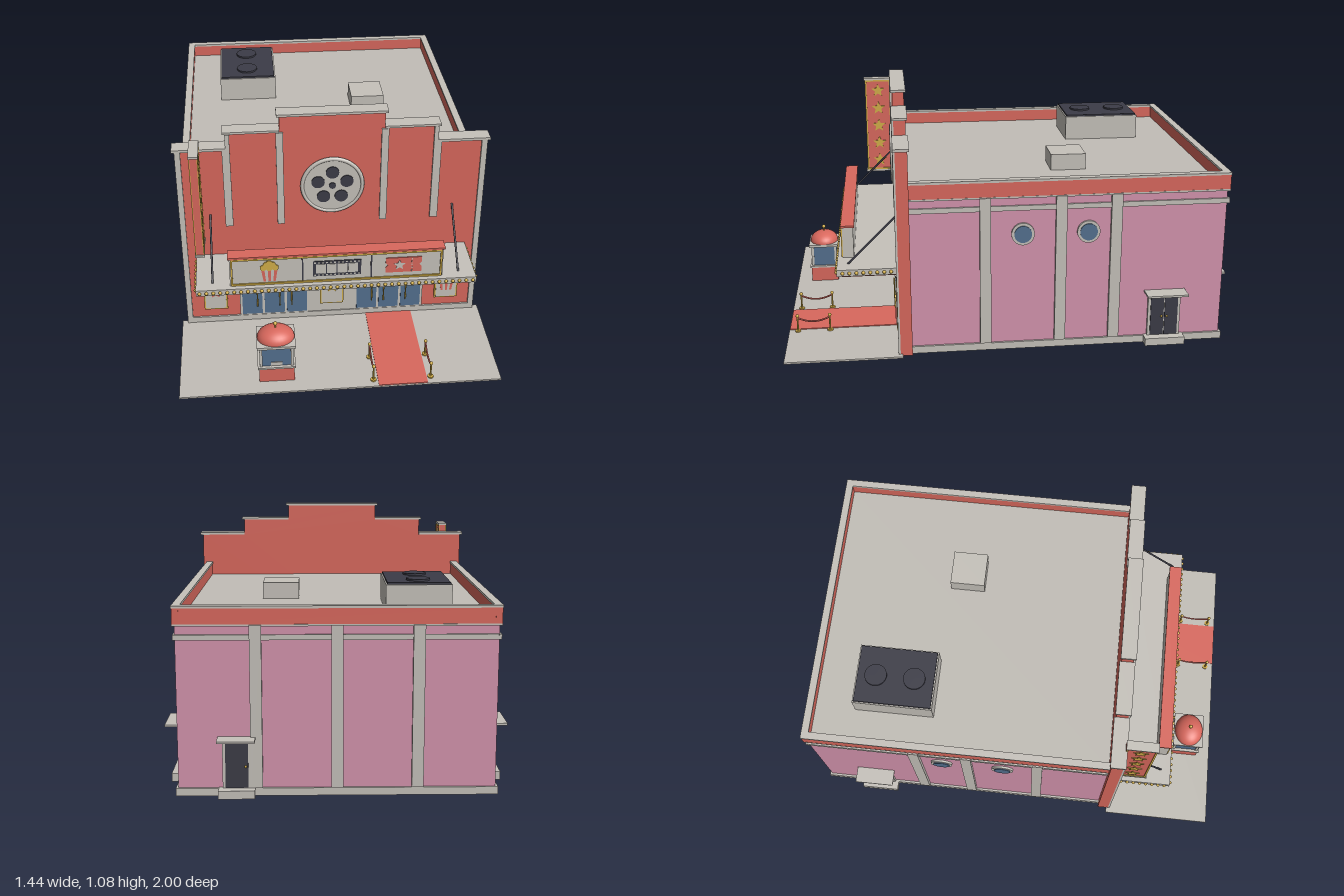
import * as THREE from 'three';

const mat = (name, color, side = THREE.FrontSide) => {
  const m = new THREE.MeshStandardMaterial({ color, side });
  m.name = name;
  return m;
};

export function createModel() {
  const root = new THREE.Group();
  root.name = 'cinemaBuilding';
  const red = mat('coralRed', 0xd9685d), pink = mat('wallPink', 0xd594ae, THREE.DoubleSide);
  const stone = mat('stoneGrey', 0xc6c2bb), slab = mat('roofGrey', 0xc2beb7, THREE.DoubleSide);
  const dark = mat('charcoal', 0x3c3c47), glass = mat('glassBlue', 0x54708f);
  const gold = mat('gold', 0xd2ae48);

  const add = (name, geo, m, x = 0, y = 0, z = 0, parent = root) => {
    const mesh = new THREE.Mesh(geo, m);
    mesh.name = name;
    mesh.position.set(x, y, z);
    parent.add(mesh);
    return mesh;
  };
  // Box from its extents
  const box = (name, m, x0, x1, y0, y1, z0, z1, parent = root) =>
    add(name, new THREE.BoxGeometry(x1 - x0, y1 - y0, z1 - z0), m, (x0 + x1) / 2, (y0 + y1) / 2, (z0 + z1) / 2, parent);
  // Flat outline of points, extruded towards +z
  const plate = (name, m, pts, x, y, z, depth = 0.004, parent = root) =>
    add(name, new THREE.ExtrudeGeometry(new THREE.Shape(pts.map(p => new THREE.Vector2(...p))), { depth, bevelEnabled: false }), m, x, y, z, parent);
  // Disc facing +z
  const disc = (name, m, r, x, y, z, depth = 0.004, parent = root) =>
    add(name, new THREE.CylinderGeometry(r, r, depth, 32).rotateX(Math.PI / 2), m, x, y, z + depth / 2, parent);
  const star = (name, m, r, x, y, z, parent = root) =>
    plate(name, m, Array.from({ length: 10 }, (_, i) => {
      const a = Math.PI / 2 + i * Math.PI / 5, q = i % 2 ? r * 0.45 : r;
      return [q * Math.cos(a), q * Math.sin(a)];
    }), x, y, z, 0.004, parent);
  // Rod between two points
  const rod = (name, m, a, b, r, parent = root) => {
    const A = new THREE.Vector3(...a), B = new THREE.Vector3(...b), d = B.clone().sub(A);
    const mesh = add(name, new THREE.CylinderGeometry(r, r, d.length(), 8), m, 0, 0, 0, parent);
    mesh.position.copy(A).add(B).multiplyScalar(0.5);
    mesh.quaternion.setFromUnitVectors(new THREE.Vector3(0, 1, 0), d.normalize());
  };
  // Popcorn bucket picture
  const popcorn = (x, y, z, s) => {
    const g = new THREE.Group();
    g.name = 'popcornPicture';
    g.position.set(x, y, z);
    g.scale.set(s, s, 1);
    root.add(g);
    for (let i = 0; i < 5; i++) {
      const b = -0.026 + i * 0.0104, t = -0.036 + i * 0.0144;
      plate('bucketStripe', i % 2 ? stone : red, [[b, -0.05], [b + 0.0104, -0.05], [t + 0.0144, 0.015], [t, 0.015]], 0, 0, 0, 0.004, g);
    }
    [[-0.026, 0.02], [0, 0.018], [0.026, 0.02], [-0.013, 0.035], [0.014, 0.035], [0, 0.043]]
      .forEach(([a, b]) => disc('kernel', gold, 0.014, a, b, 0, 0.005, g));
  };

  // Open shell: walls and roof
  const W = 0.643, ZB = -0.926, ZF = 0.46;
  const wall = (name, w, x, z, turn) =>
    add(name, new THREE.PlaneGeometry(w, 0.71), pink, x, 0.355, z).rotation.y = turn;
  for (const s of [1, -1]) wall('sideWall', ZF - ZB, s * W, (ZF + ZB) / 2, s * Math.PI / 2);
  wall('backWall', 2 * W, 0, ZB, Math.PI);
  add('roof', new THREE.PlaneGeometry(2 * W, ZF - ZB).rotateX(-Math.PI / 2), slab, 0, 0.715, (ZF + ZB) / 2);

  // Trim, parapet and openings of one wall; local +z points outwards
  const frame = (name, x, z, turn) => {
    const g = new THREE.Group();
    g.name = name;
    g.position.set(x, 0, z);
    g.rotation.y = turn;
    root.add(g);
    return g;
  };
  const trim = (g, a, b, piers) => {
    box('plinth', stone, a, b, 0, 0.032, -0.008, 0.01, g);
    box('band', stone, a, b, 0.642, 0.664, -0.004, 0.008, g);
    box('upperBand', stone, a, b, 0.698, 0.706, -0.004, 0.01, g);
    box('parapet', red, a, b, 0.706, 0.77, -0.018, 0.009, g);
    box('parapetCap', stone, a, b, 0.77, 0.78, -0.021, 0.012, g);
    piers.forEach(p => box('pier', stone, p - 0.024, p + 0.024, 0.035, 0.703, -0.01, 0.016, g));
  };
  const exitDoor = (g, x, half, leaves, out) => {
    box('doorFrame', stone, x - half, x + half, 0.03, 0.232, -0.006, 0.012, g);
    const w = (2 * half - 0.02) / leaves;
    for (let i = 0; i < leaves; i++) {
      const l = x - half + 0.01 + i * w;
      box('doorLeaf', dark, l + 0.002, l + w - 0.002, 0.036, 0.222, 0.012, 0.016, g);
      add('doorKnob', new THREE.SphereGeometry(0.005, 8, 6), gold, l + (i ? 0.012 : w - 0.012), 0.125, 0.018, g);
    }
    box('doorStep', stone, x - half - 0.016, x + half + 0.016, 0, 0.034, 0, out * 0.68, g);
    box('doorCanopy', stone, x - half - 0.018, x + half + 0.018, 0.238, 0.247, 0, out, g);
  };
  for (const s of [1, -1]) {
    const g = frame('sideTrim', s * W, 0, s * Math.PI / 2);
    const u = z => -s * z;
    trim(g, Math.min(u(ZF), u(ZB - 0.01)), Math.max(u(ZF), u(ZB - 0.01)), [0.127, -0.2, -0.44].map(u));
    for (const z of [-0.035, -0.32]) {
      disc('portholeRing', stone, 0.05, u(z), 0.535, -0.004, 0.014, g);
      disc('portholeGlass', glass, 0.038, u(z), 0.535, 0.01, 0.004, g);
    }
    exitDoor(g, u(-0.668), 0.073, 2, 0.075);
  }
  const back = frame('backTrim', 0, ZB, Math.PI);
  trim(back, -W - 0.008, W + 0.008, [-0.325, 0, 0.325]);
  exitDoor(back, -0.405, 0.058, 1, 0.074);

  // Rooftop equipment
  box('coolingUnit', stone, -0.48, -0.205, 0.715, 0.83, -0.725, -0.365);
  box('coolingUnitTop', dark, -0.474, -0.211, 0.83, 0.838, -0.719, -0.371);
  for (const z of [-0.635, -0.46]) add('fan', new THREE.CylinderGeometry(0.05, 0.05, 0.008, 32), dark, -0.345, 0.842, z);
  box('roofHatch', stone, 0.16, 0.32, 0.715, 0.788, -0.365, -0.205);

  // Stepped facade
  plate('facade', red, [[-0.67, 0], [0.67, 0], [0.67, 0.922], [0.455, 0.922], [0.455, 1], [0.225, 1], [0.225, 1.072],
    [-0.225, 1.072], [-0.225, 1], [-0.455, 1], [-0.455, 0.922], [-0.67, 0.922]], 0, 0, 0.448, 0.052);
  box('facadePlinth', stone, -0.67, 0.67, 0.004, 0.036, 0.5, 0.508);
  box('centreCap', stone, -0.237, 0.237, 1.072, 1.083, 0.44, 0.508);
  for (const s of [1, -1]) {
    const strip = (name, a, b, y0, y1, z0 = 0.5) => box(name, stone, Math.min(s * a, s * b), Math.max(s * a, s * b), y0, y1, z0, 0.509);
    strip('innerPier', 0.21, 0.241, 0.54, 0.998);
    strip('outerPier', 0.436, 0.47, 0.54, 0.922);
    strip('outerPierTop', 0.436, 0.455, 0.922, 0.998);
    strip('edgePier', 0.645, 0.67, 0, 0.922);
    strip('middleCap', 0.225, 0.465, 1, 1.01, 0.44);
    strip('sideCap', 0.455, 0.682, 0.922, 0.934, 0.44);
  }

  // Film reel
  disc('reelRim', stone, 0.126, 0, 0.73, 0.5, 0.012);
  add('reelRing', new THREE.TorusGeometry(0.131, 0.009, 8, 48), stone, 0, 0.73, 0.508);
  disc('reelHub', dark, 0.015, 0, 0.73, 0.512);
  for (let i = 0; i < 5; i++) {
    const a = Math.PI / 2 + i * Math.PI * 0.4;
    disc('reelHole', dark, 0.029, 0.066 * Math.cos(a), 0.73 + 0.066 * Math.sin(a), 0.512);
  }

  // Entrance doors, three leaves on each side
  for (const s of [1, -1]) {
    box('entranceFrame', stone, s * 0.265 - 0.16, s * 0.265 + 0.16, 0.036, 0.278, 0.5, 0.506);
    box('lintel', stone, s * 0.265 - 0.168, s * 0.265 + 0.168, 0.276, 0.292, 0.5, 0.516);
    for (let i = -1; i <= 1; i++) {
      const c = s * 0.265 + i * 0.103;
      box('doorGlass', glass, c - 0.046, c + 0.046, 0.044, 0.218, 0.506, 0.51);
      for (const k of [-1, 1]) box('transomGlass', glass, c + k * 0.024 - 0.021, c + k * 0.024 + 0.021, 0.226, 0.27, 0.506, 0.51);
      rod('doorHandle', gold, [c - 0.024 * (i || s), 0.09, 0.517], [c - 0.024 * (i || s), 0.165, 0.517], 0.003);
    }
  }
  // Posters
  box('wallPanel', stone, -0.105, 0.105, 0.036, 0.278, 0.5, 0.504);
  for (const x of [-0.535, 0, 0.535]) {
    box('posterFrame', gold, x - 0.054, x + 0.054, 0.082, 0.276, 0.5, 0.51);
    box('posterSheet', stone, x - 0.047, x + 0.047, 0.089, 0.269, 0.51, 0.513);
  }
  star('posterStar', red, 0.031, -0.535, 0.18, 0.513);
  star('posterStar', gold, 0.031, 0, 0.18, 0.513);
  popcorn(0.535, 0.176, 0.513, 0.95);

  // Marquee canopy with bulbs and tie rods
  box('canopy', stone, -0.607, 0.607, 0.357, 0.386, 0.5, 0.762);
  box('canopySoffit', red, -0.585, 0.585, 0.346, 0.357, 0.5, 0.74);
  const bulb = (x, z) => add('bulb', new THREE.SphereGeometry(0.008, 8, 6), gold, x, 0.371, z);
  for (let i = 0; i < 41; i++) bulb(-0.592 + i * 0.0296, 0.764);
  for (const s of [1, -1]) {
    for (let i = 0; i < 8; i++) bulb(s * 0.609, 0.53 + i * 0.0296);
    rod('tieRod', dark, [s * 0.535, 0.6, 0.5], [s * 0.535, 0.386, 0.715], 0.0045);
  }

  // Sign board
  box('signBoard', stone, -0.46, 0.46, 0.386, 0.526, 0.69, 0.738);
  box('signTop', red, -0.466, 0.466, 0.526, 0.535, 0.685, 0.744);
  for (const y of [0.388, 0.517]) box('signFrame', gold, -0.455, 0.455, y, y + 0.008, 0.738, 0.744);
  for (const x of [-0.455, 0.447]) box('signFrame', gold, x, x + 0.008, 0.388, 0.525, 0.738, 0.744);
  for (const x of [-0.148, 0.148]) box('signDivider', dark, x - 0.003, x + 0.003, 0.398, 0.515, 0.738, 0.742);
  popcorn(-0.29, 0.455, 0.738, 1);
  box('filmStrip', dark, -0.104, 0.104, 0.417, 0.495, 0.738, 0.741);
  for (let i = 0; i < 4; i++) box('filmFrame', stone, -0.09 + i * 0.046, -0.048 + i * 0.046, 0.432, 0.48, 0.741, 0.743);
  for (let i = 0; i < 12; i++) for (const y of [0.424, 0.488])
    box('filmHole', stone, -0.099 + i * 0.0172, -0.091 + i * 0.0172, y - 0.003, y + 0.003, 0.741, 0.743);
  plate('ticket', red, [[-0.078, -0.038], [0.078, -0.038], [0.078, -0.012], [0.068, 0], [0.078, 0.012], [0.078, 0.038],
    [-0.078, 0.038], [-0.078, 0.012], [-0.068, 0], [-0.078, -0.012]], 0.288, 0.456, 0.738);
  star('ticketStar', stone, 0.027, 0.27, 0.456, 0.74);
  for (let i = 0; i < 5; i++) box('ticketPerforation', stone, 0.322, 0.326, 0.422 + i * 0.015, 0.43 + i * 0.015, 0.742, 0.744);

  // Blade sign
  box('bladeSign', red, -0.6, -0.57, 0.48, 0.965, 0.5, 0.634);
  for (const y of [0.472, 0.965]) box('bladeCap', stone, -0.606, -0.564, y, y + 0.01, 0.5, 0.64);
  for (const s of [1, -1]) {
    const g = frame('bladeFace', -0.585 + s * 0.015, 0.568, s * Math.PI / 2);
    for (const e of [-0.062, 0.062]) box('bladeFrame', gold, e - 0.004, e + 0.004, 0.482, 0.965, 0, 0.004, g);
    for (const y of [0.482, 0.957]) box('bladeFrame', gold, -0.062, 0.062, y, y + 0.008, 0, 0.004, g);
    for (let i = 0; i < 5; i++) star('bladeStar', gold, 0.035, 0, 0.535 + i * 0.0935, 0, g);
  }

  // Pavement and carpet
  box('pavement', slab, -0.695, 0.695, 0, 0.008, 0.49, 1);
  box('carpet', red, 0.16, 0.373, 0.008, 0.012, 0.51, 0.998);
  // Rope barriers
  for (const x of [0.14, 0.39]) {
    for (const z of [0.815, 0.96]) {
      add('postFoot', new THREE.CylinderGeometry(0.013, 0.013, 0.006, 16), gold, x, 0.011, z);
      rod('post', gold, [x, 0.01, z], [x, 0.082, z], 0.004);
      add('postKnob', new THREE.SphereGeometry(0.008, 10, 8), gold, x, 0.084, z);
    }
    const rope = new THREE.QuadraticBezierCurve3(new THREE.Vector3(x, 0.075, 0.815), new THREE.Vector3(x, 0.035, 0.8875), new THREE.Vector3(x, 0.075, 0.96));
    add('rope', new THREE.TubeGeometry(rope, 12, 0.004, 6), red, 0, 0, 0);
  }

  // Ticket booth
  const booth = new THREE.Group();
  booth.name = 'ticketBooth';
  booth.position.set(-0.275, 0, 0.865);
  root.add(booth);
  box('boothBase', red, -0.076, 0.076, 0.008, 0.08, -0.066, 0.066, booth);
  box('boothCounter', stone, -0.082, 0.082, 0.08, 0.089, -0.072, 0.072, booth);
  box('boothGlass', glass, -0.068, 0.068, 0.089, 0.19, -0.058, 0.058, booth);
  for (const x of [-0.067, 0.067]) for (const z of [-0.057, 0.057])
    box('boothPost', stone, x - 0.006, x + 0.006, 0.089, 0.19, z - 0.006, z + 0.006, booth);
  box('ticketSlot', stone, -0.025, 0.025, 0.092, 0.11, 0.058, 0.062, booth);
  box('boothRoof', stone, -0.083, 0.083, 0.19, 0.202, -0.073, 0.073, booth);
  add('boothDome', new THREE.SphereGeometry(1, 32, 10, 0, Math.PI * 2, 0, Math.PI / 2), red, 0, 0.202, 0, booth).scale.set(0.081, 0.05, 0.069);
  rod('finialStem', gold, [0, 0.25, 0], [0, 0.27, 0], 0.003, booth);
  add('finial', new THREE.SphereGeometry(0.009, 12, 8), gold, 0, 0.273, 0, booth);

  return root;
}
